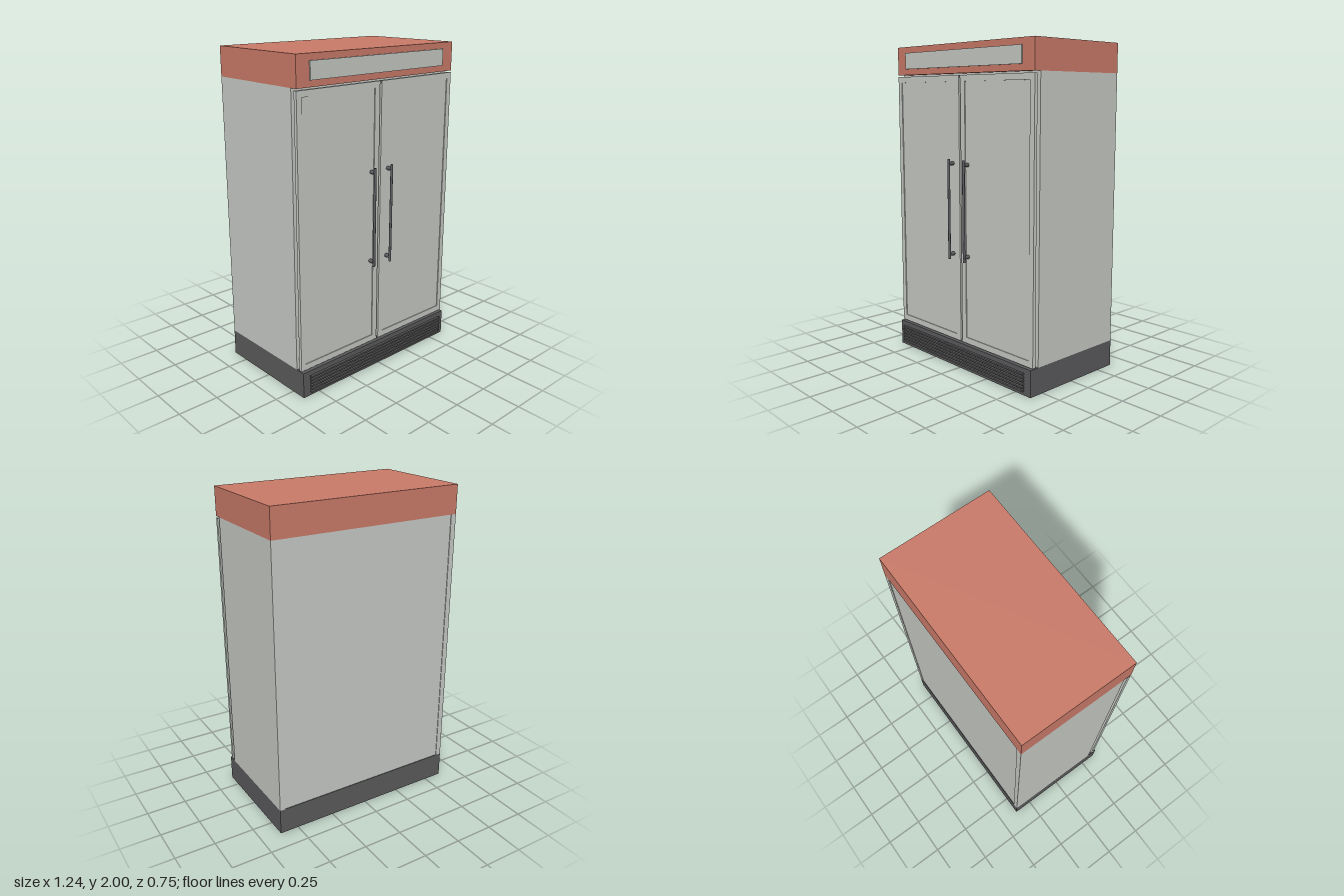
import * as THREE from 'three';

export function createModel() {
  const group = new THREE.Group();
  const mat = (name, color) => {
    const m = new THREE.MeshStandardMaterial({ color });
    m.name = name;
    return m;
  };
  const steel = mat('pale steel', 0xc6c9c4);
  const red = mat('brick red', 0xc97a68);
  const dark = mat('charcoal', 0x5a5a5c);
  const handleGrey = mat('handle grey', 0x5c5c61);

  const add = (name, geo, material, parent = group) => {
    const m = new THREE.Mesh(geo, material);
    m.name = name;
    parent.add(m);
    return m;
  };
  // Box given by its minimum and maximum on each axis
  const box = (name, material, x0, x1, y0, y1, z0, z1, parent) => {
    const m = add(name, new THREE.BoxGeometry(x1 - x0, y1 - y0, z1 - z0), material, parent);
    m.position.set((x0 + x1) / 2, (y0 + y1) / 2, (z0 + z1) / 2);
    return m;
  };

  // Plinth with ventilation slats
  box('base', dark, -0.62, 0.62, 0, 0.163, -0.373, 0.35);
  for (let i = 0; i < 6; i++) {
    const y = 0.032 + i * 0.02;
    box('ventSlat', dark, -0.575, 0.575, y - 0.005, y + 0.005, 0.356, 0.371);
  }

  // Cabinet with corner posts around a slightly sunken back panel
  box('cabinet', steel, -0.62, 0.62, 0.163, 1.823, -0.369, 0.288);
  for (const s of [-1, 1]) {
    const post = box('backCornerPost', steel, -0.0175, 0.0175, 0.163, 1.823, -0.373, -0.369);
    post.position.x = s * 0.6025;
  }

  // Header with light panel
  box('header', red, -0.62, 0.62, 1.823, 2, -0.373, 0.333);
  box('signPanel', steel, -0.53, 0.527, 1.86, 1.962, 0.333, 0.341);

  // Doors: frame with a sunken panel, plus a bar handle
  for (const s of [-1, 1]) {
    const door = new THREE.Group();
    door.name = s > 0 ? 'leftDoor' : 'rightDoor';
    group.add(door);

    const rect = (P, x0, x1, y0, y1) => {
      const p = new P();
      p.moveTo(x0, y0).lineTo(x1, y0).lineTo(x1, y1).lineTo(x0, y1).closePath();
      return p;
    };
    const xs = (a, b) => (s > 0 ? [a, b] : [-b, -a]);
    const frame = rect(THREE.Shape, ...xs(0.007, 0.62), 0.168, 1.812);
    frame.holes.push(rect(THREE.Path, ...xs(0.046, 0.585), 0.206, 1.775));
    const frameGeo = new THREE.ExtrudeGeometry(frame, { depth: 0.021, bevelEnabled: false });
    add('doorFrame', frameGeo, steel, door).position.z = 0.312;
    box('doorPanel', steel, ...xs(0.046, 0.585), 0.206, 1.775, 0.312, 0.328, door);

    const bar = add('handleBar', new THREE.CylinderGeometry(0.008, 0.008, 0.62, 16), handleGrey, door);
    bar.position.set(s * 0.069, 1.002, 0.366);
    for (const y of [0.722, 1.284]) {
      const mount = add('handleMount', new THREE.CylinderGeometry(0.012, 0.012, 0.033, 16), handleGrey, door);
      mount.rotation.x = Math.PI / 2;
      mount.position.set(s * 0.069, y, 0.3475);
    }
  }
  // Hinge pins at the middle of the door gap
  for (const y of [0.173, 1.805]) {
    box('gapPin', dark, -0.005, 0.005, y - 0.006, y + 0.006, 0.314, 0.331);
  }

  return group;
}
